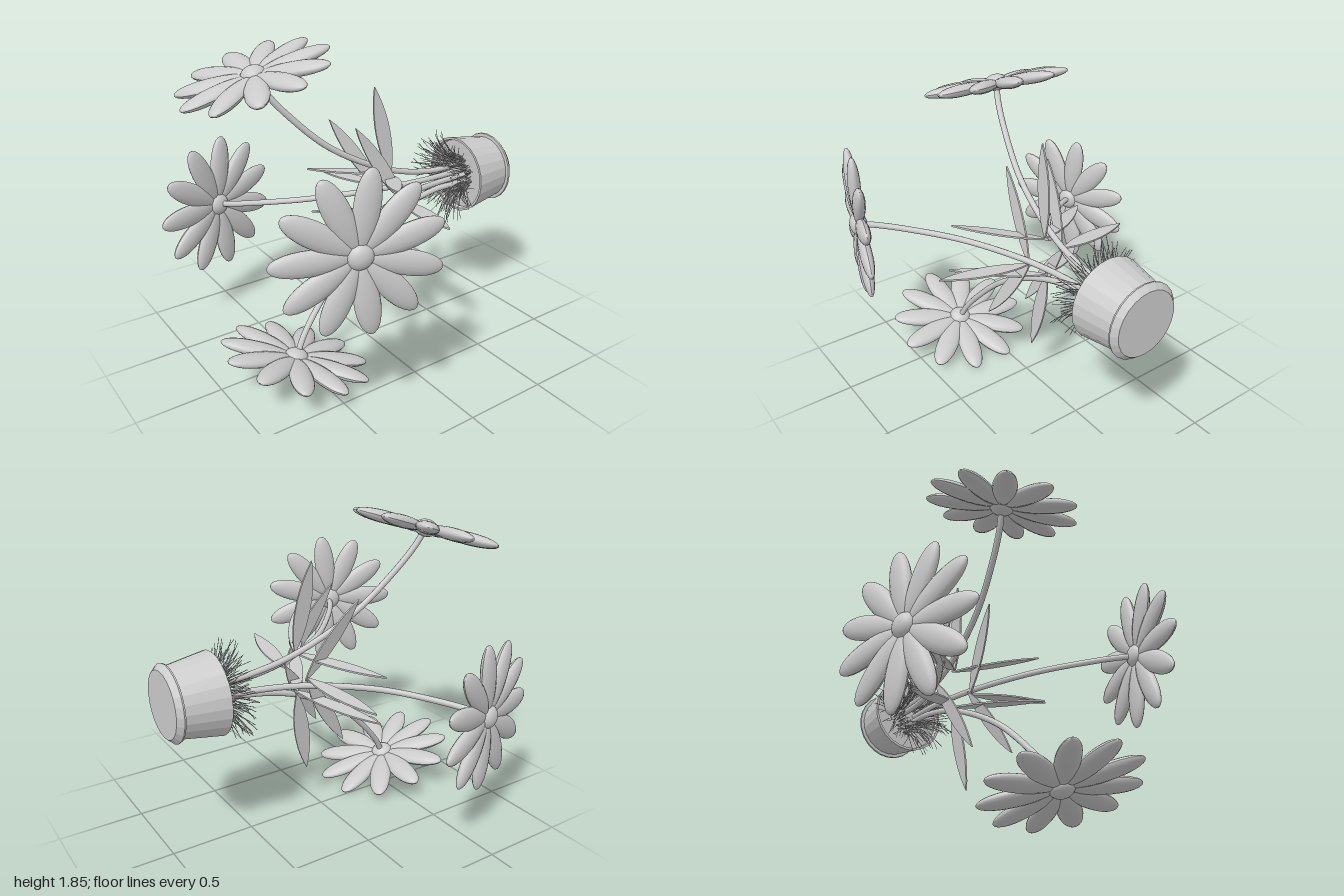
import * as THREE from 'three';

const V = (x, y, z) => new THREE.Vector3(x, y, z);
const smooth = new THREE.MeshStandardMaterial({ color: 0xcccccc, side: THREE.DoubleSide });
const flat = new THREE.MeshStandardMaterial({ color: 0xcccccc, flatShading: true, side: THREE.DoubleSide });

function add(parent, name, geometry, material = smooth) {
  const mesh = new THREE.Mesh(geometry, material);
  mesh.name = name;
  parent.add(mesh);
  return mesh;
}

let seed = 7;
function rand(a, b) {
  seed = (seed * 16807) % 2147483647;
  return a + (b - a) * seed / 2147483647;
}

// Open pot lying along z, closed foot at the back
function makePot(root) {
  const profile = [[0, -1], [0.19, -1], [0.22, -0.968], [0.218, -0.958], [0.198, -0.956],
    [0.24, -0.705], [0.225, -0.705], [0.22, -0.735]].map(p => new THREE.Vector2(...p));
  add(root, 'pot', new THREE.LatheGeometry(profile, 24).rotateX(Math.PI / 2), flat);
  add(root, 'soil', new THREE.CircleGeometry(0.222, 24).translate(0, 0, -0.735), flat);
}

// Fine blades flaring out of the pot
function makeGrass(root) {
  const grass = new THREE.Group();
  grass.name = 'grass';
  root.add(grass);
  for (let i = 0; i < 220; i++) {
    const a = i * 2.39996, r = rand(0.08, 0.31), b = 0.03 + r * 0.3;
    const twist = rand(-0.25, 0.25), tip = rand(-0.61, -0.565);
    const at = (rad, z, turn) => V(Math.cos(a + turn) * rad, Math.sin(a + turn) * rad, z);
    const curve = new THREE.CatmullRomCurve3([at(b, -0.74, 0), at(b + (r - b) * 0.2, -0.67, 0),
      at(b + (r - b) * 0.55, -0.62, twist / 2), at(r, tip, twist)]);
    add(grass, 'grassBlade', new THREE.TubeGeometry(curve, 6, 0.002, 3));
  }
}

// Egg-shaped petal reaching outward along -z
function petalGeometry() {
  const g = new THREE.SphereGeometry(1, 16, 14).rotateX(-Math.PI / 2);
  const p = g.attributes.position;
  for (let i = 0; i < p.count; i++) {
    const t = p.getZ(i), w = 1 - 0.1 * t;
    p.setXYZ(i, p.getX(i) * 0.068 * w, p.getY(i) * 0.036 * w, t * 0.205 - 0.235);
  }
  g.computeVertexNormals();
  return g;
}

// Flower head facing +y, one petal pointing along +z
function makeFlower() {
  const flower = new THREE.Group();
  flower.name = 'flower';
  const petal = petalGeometry();
  for (let i = 0; i < 11; i++) {
    add(flower, 'petal', petal).rotation.y = Math.PI + i * Math.PI * 2 / 11;
  }
  add(flower, 'flowerCentre', new THREE.SphereGeometry(0.07, 20, 14)).scale.y = 0.72;
  return flower;
}

// Thin pointed leaf from base to tip, its blade lying in a plane along z
function makeLeaf(parent, base, tip, width) {
  const d = tip.clone().sub(base), len = d.length();
  const shape = new THREE.Shape();
  shape.moveTo(0, 0);
  shape.bezierCurveTo(len * 0.3, width * 0.7, len * 0.7, width * 0.62, len, 0);
  shape.bezierCurveTo(len * 0.7, -width * 0.62, len * 0.3, -width * 0.7, 0, 0);
  const g = new THREE.ExtrudeGeometry(shape, { depth: 0.01, bevelEnabled: false, curveSegments: 10 });
  g.translate(0, 0, -0.005);
  const x = d.normalize(), n = x.clone().cross(V(0, 0, 1)).normalize(), y = n.clone().cross(x);
  g.applyMatrix4(new THREE.Matrix4().makeBasis(x, y, n).setPosition(base));
  add(parent, 'leaf', g, flat);
}

export function createModel() {
  const model = new THREE.Group();
  model.name = 'pottedFlowers';
  const root = new THREE.Group();
  root.name = 'plant';
  root.position.set(-0.008, 0.945, 0);
  model.add(root);
  makePot(root);
  makeGrass(root);

  const stem = new THREE.TubeGeometry(new THREE.CatmullRomCurve3([V(0, 0.06, -0.75), V(0, 0.065, -0.5),
    V(0, 0.14, -0.19), V(0, 0.34, 0.18), V(0, 0.57, 0.42), V(0, 0.71, 0.53), V(0, 0.795, 0.575)]), 40, 0.018, 10);

  // Four branches around the pot axis, heads set slightly sideways
  [0.195, 0.165, 0.145, 0.135].forEach((offset, k) => {
    const branch = new THREE.Group();
    branch.name = 'branch';
    branch.rotation.z = k * Math.PI / 2;
    root.add(branch);
    add(branch, 'stem', stem).rotation.z = Math.atan2(offset, 0.79);

    const flower = makeFlower();
    flower.position.set(-offset, 0.79, 0.585);
    flower.rotation.x = 0.3;
    branch.add(flower);

    // Three leaves beside each stem
    makeLeaf(branch, V(0.01, 0.12, -0.18), V(-0.035, 0.655, -0.09), 0.1);
    makeLeaf(branch, V(-0.11, -0.01, -0.185), V(-0.22, 0.45, 0.1), 0.09);
    makeLeaf(branch, V(0.125, -0.01, -0.185), V(0.065, 0.475, 0.11), 0.09);
  });
  return model;
}
